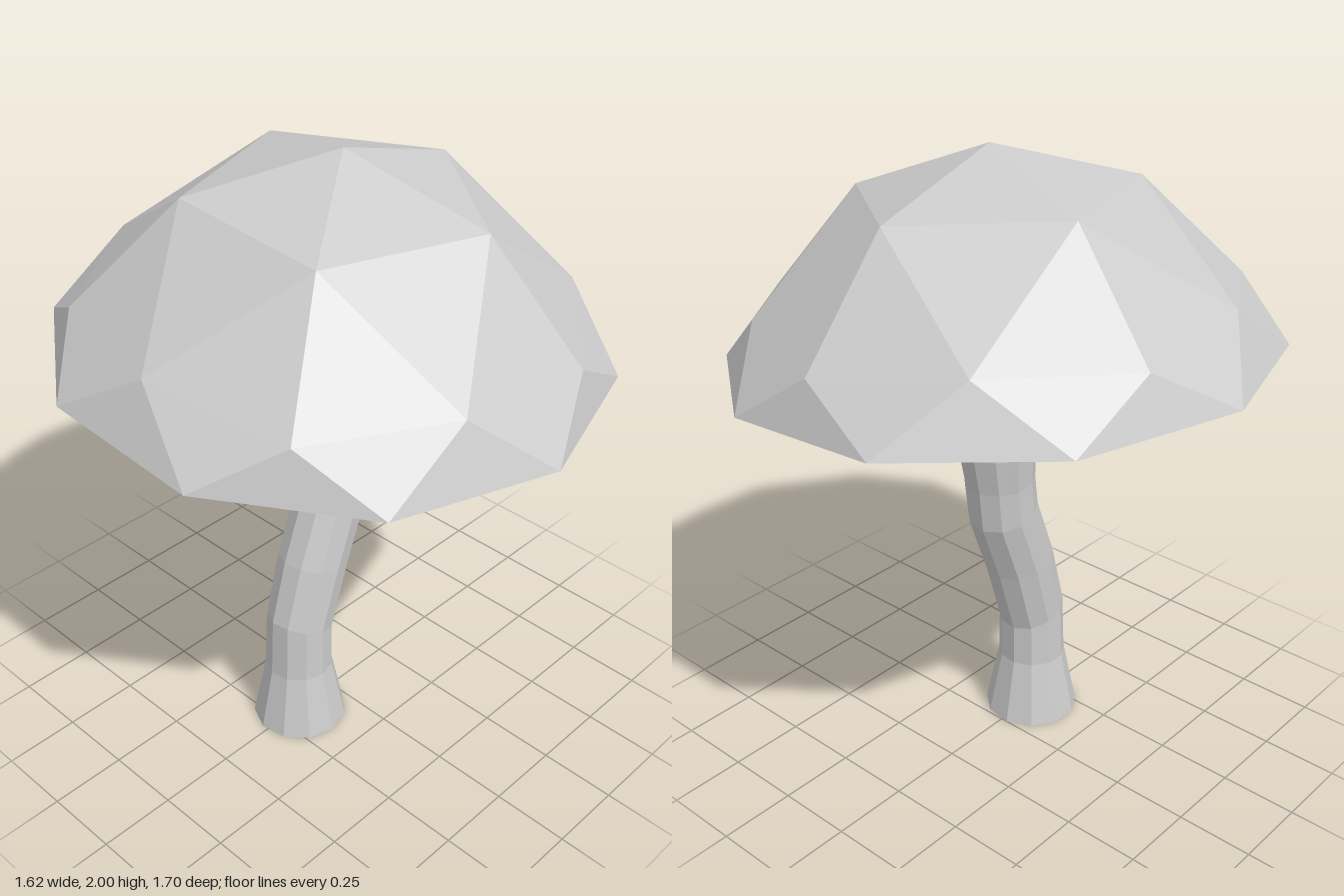
import * as THREE from 'three';

const material = () => new THREE.MeshStandardMaterial({ color: 0xcccccc, flatShading: true, side: THREE.DoubleSide });

const STEP = Math.PI / 5;
// Point on the cap, placed by tenths of a turn
const at = (r, y, tenth) => [r * Math.cos(tenth * STEP), y, r * Math.sin(tenth * STEP)];

// One faceted half of the cap: pole, five-point ring, ten-point ring, rim
function capHalf({ poleY, inner, corner, middle, turn, up }) {
  const out = [];
  const tri = (a, b, c) => out.push(...a, ...(up ? c : b), ...(up ? b : c));
  const pole = [0, poleY, 0];
  const ringA = (k) => at(inner[0], inner[1], 2 * k + turn);
  const ringB = (j) => at(...(j % 2 ? middle : corner), j + turn);
  const rim = (j) => at(0.85, 0, j + 0.5 + turn);
  for (let k = 0; k < 5; k++) {
    const j = 2 * k;
    tri(pole, ringA(k), ringA(k + 1));
    tri(ringA(k), ringB(j + 1), ringA(k + 1));
    tri(ringA(k), ringB(j), ringB(j + 1));
    tri(ringA(k + 1), ringB(j + 1), ringB(j + 2));
  }
  for (let j = 0; j < 10; j++) {
    tri(ringB(j), rim(j), ringB(j + 1));
    tri(rim(j), rim(j + 1), ringB(j + 1));
  }
  const geo = new THREE.BufferGeometry();
  geo.setAttribute('position', new THREE.Float32BufferAttribute(out, 3));
  geo.computeVertexNormals();
  return geo;
}

// Bent stem: each row is [centre x, centre y, radius, slope of the ring across x]
function stemGeometry() {
  const rows = [
    [-0.155, 0, 0.156, 0],
    [-0.155, 0.22, 0.112, 0],
    [-0.15, 0.395, 0.107, -0.33],
    [-0.085, 0.615, 0.112, -0.25],
    [-0.005, 0.825, 0.112, -0.23],
    [0.01, 0.945, 0.113, -0.06],
    [0.025, 1.065, 0.124, 0],
    [0.032, 1.21, 0.128, 0],
    [0.032, 1.49, 0.29, 0],
  ];
  const last = rows.length - 1;
  const geo = new THREE.CylinderGeometry(1, 1, 1, 11, last);
  const p = geo.attributes.position;
  for (let i = 0; i < p.count; i++) {
    const [cx, cy, r, slope] = rows[Math.round((p.getY(i) + 0.5) * last)];
    const dx = p.getX(i) * r;
    p.setXYZ(i, cx + dx, cy + dx * slope, p.getZ(i) * r);
  }
  geo.computeVertexNormals();
  return geo;
}

export function createModel() {
  const model = new THREE.Group();
  model.name = 'mushroom';

  const stem = new THREE.Mesh(stemGeometry(), material());
  stem.name = 'stem';

  // Cap, leaning a little to the front
  const cap = new THREE.Group();
  cap.name = 'cap';
  cap.position.y = 1.378;
  cap.rotation.x = 0.0735;

  const dome = new THREE.Mesh(capHalf({
    poleY: 0.622, inner: [0.447, 0.485], corner: [0.76, 0.155], middle: [0.722, 0.185], turn: 0, up: true,
  }), material());
  dome.name = 'capTop';

  // Underside with a sagging lip and a hollow around the stem
  const underside = new THREE.Mesh(capHalf({
    poleY: 0.17, inner: [0.376, 0.08], corner: [0.64, -0.005], middle: [0.6, -0.073], turn: 1, up: false,
  }), material());
  underside.name = 'capUnderside';

  cap.add(dome, underside);
  model.add(stem, cap);
  return model;
}
